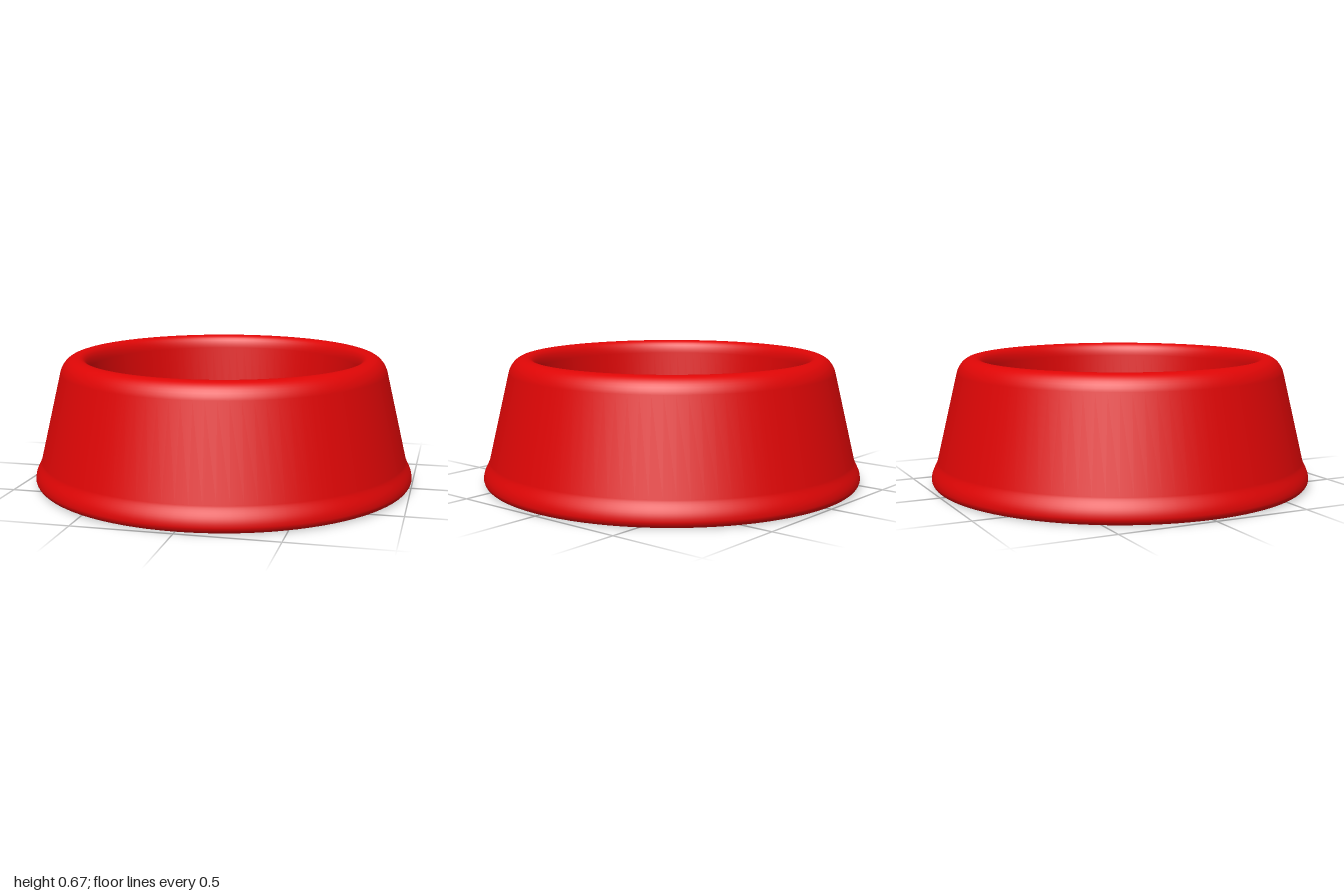
import * as THREE from 'three';

export function createModel() {
  const model = new THREE.Group();
  model.name = 'petBowl';
  const red = new THREE.MeshStandardMaterial({ color: 0xdf0606 });
  red.name = 'glossy red';

  const addLathe = (name, path) => {
    const mesh = new THREE.Mesh(new THREE.LatheGeometry(path.getPoints(8), 96), red);
    mesh.name = name;
    model.add(mesh);
  };

  // Flat underside
  const base = new THREE.Path();
  base.moveTo(0, 0);
  base.lineTo(0.965, 0);
  addLathe('underside', base);

  // Rounded foot, concave flare and sloping outer wall up to the rim crest
  const body = new THREE.Path();
  body.moveTo(0.965, 0);
  body.quadraticCurveTo(0.995, 0.005, 1, 0.035);
  body.bezierCurveTo(1, 0.075, 0.975, 0.1, 0.967, 0.13);
  body.lineTo(0.858, 0.59);
  body.bezierCurveTo(0.847, 0.633, 0.815, 0.668, 0.775, 0.668);
  body.lineTo(0.765, 0.668);
  // Inner lip, tapering inner wall and filleted raised floor
  body.bezierCurveTo(0.735, 0.668, 0.717, 0.645, 0.712, 0.6);
  body.lineTo(0.675, 0.23);
  body.bezierCurveTo(0.669, 0.175, 0.65, 0.145, 0.61, 0.145);
  body.lineTo(0.59, 0.145);
  body.lineTo(0, 0.145);
  addLathe('bowlBody', body);

  return model;
}
